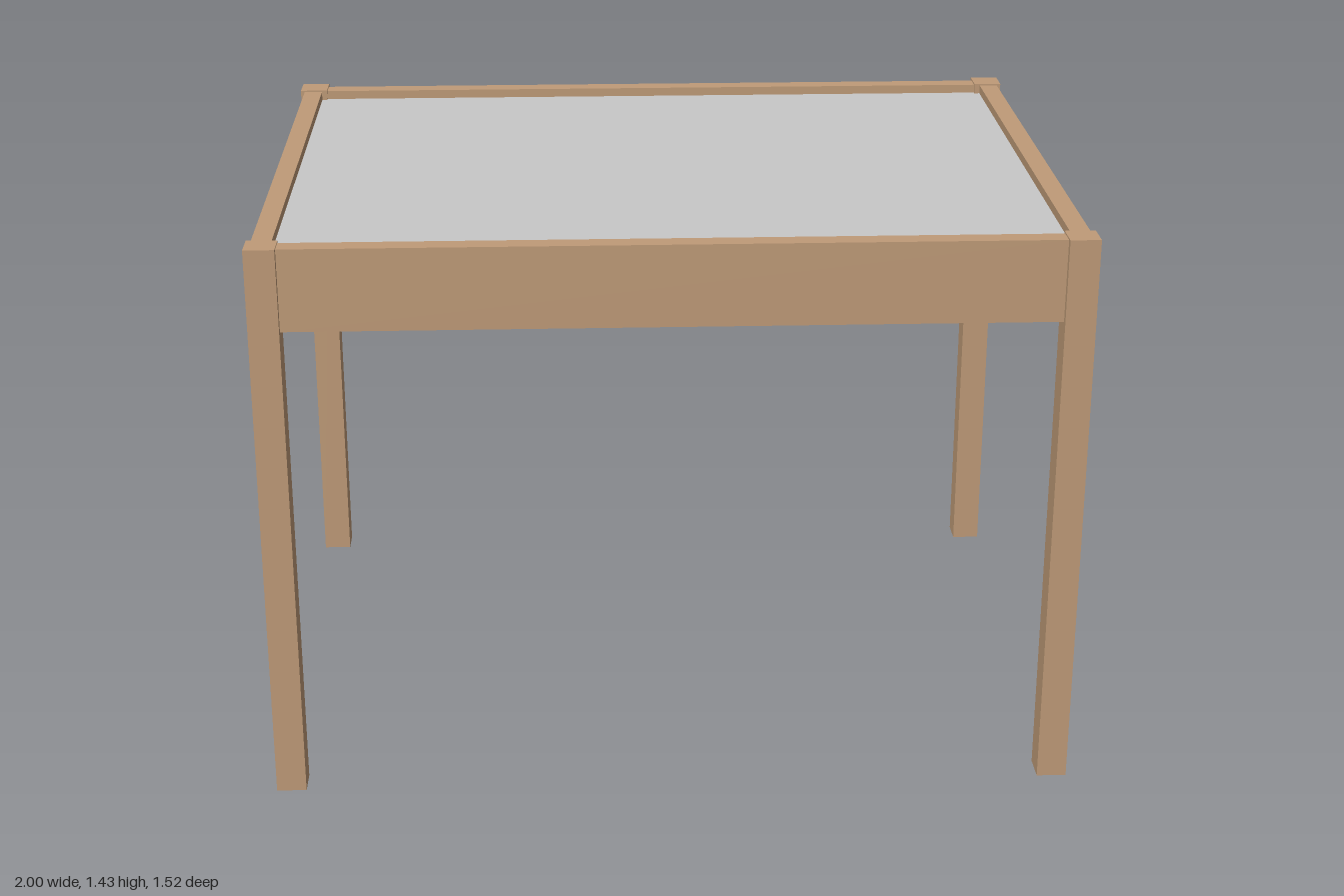
import * as THREE from 'three';

export function createModel() {
  const model = new THREE.Group();
  const wood = new THREE.MeshStandardMaterial({ color: 0xbf9b78 });
  wood.name = 'wood';
  const grey = new THREE.MeshStandardMaterial({ color: 0xc8c8c8 });
  grey.name = 'grey panel';

  // box spanning y0..y1, centred on x and z
  const addBox = (name, material, w, d, y0, y1, x, z) => {
    const mesh = new THREE.Mesh(new THREE.BoxGeometry(w, y1 - y0, d), material);
    mesh.name = name;
    mesh.position.set(x, (y0 + y1) / 2, z);
    model.add(mesh);
  };

  const halfX = 1, halfZ = 0.762, leg = 0.074, height = 1.43;
  const rail = 0.049, railBottom = 1.222, railTop = 1.426;
  const railX = 0.965, railZ = 0.721;

  for (const s of [1, -1]) {
    const side = s > 0 ? 'left' : 'right';
    // legs at the corners
    for (const t of [1, -1]) {
      addBox(`${side}${t > 0 ? 'Front' : 'Back'}Leg`, wood, leg, leg, 0, height,
        s * (halfX - leg / 2), t * (halfZ - leg / 2));
    }
    // apron rails between the legs
    addBox(`${side}Rail`, wood, rail, 2 * (halfZ - leg), railBottom, railTop, s * railX, 0);
    addBox(s > 0 ? 'frontRail' : 'backRail', wood, 2 * (halfX - leg), rail,
      railBottom, railTop, 0, s * railZ);
  }

  // recessed table top between the rails
  addBox('tableTop', grey, 2 * railX - rail, 2 * railZ - rail, 1.385, 1.403, 0, 0);

  return model;
}
